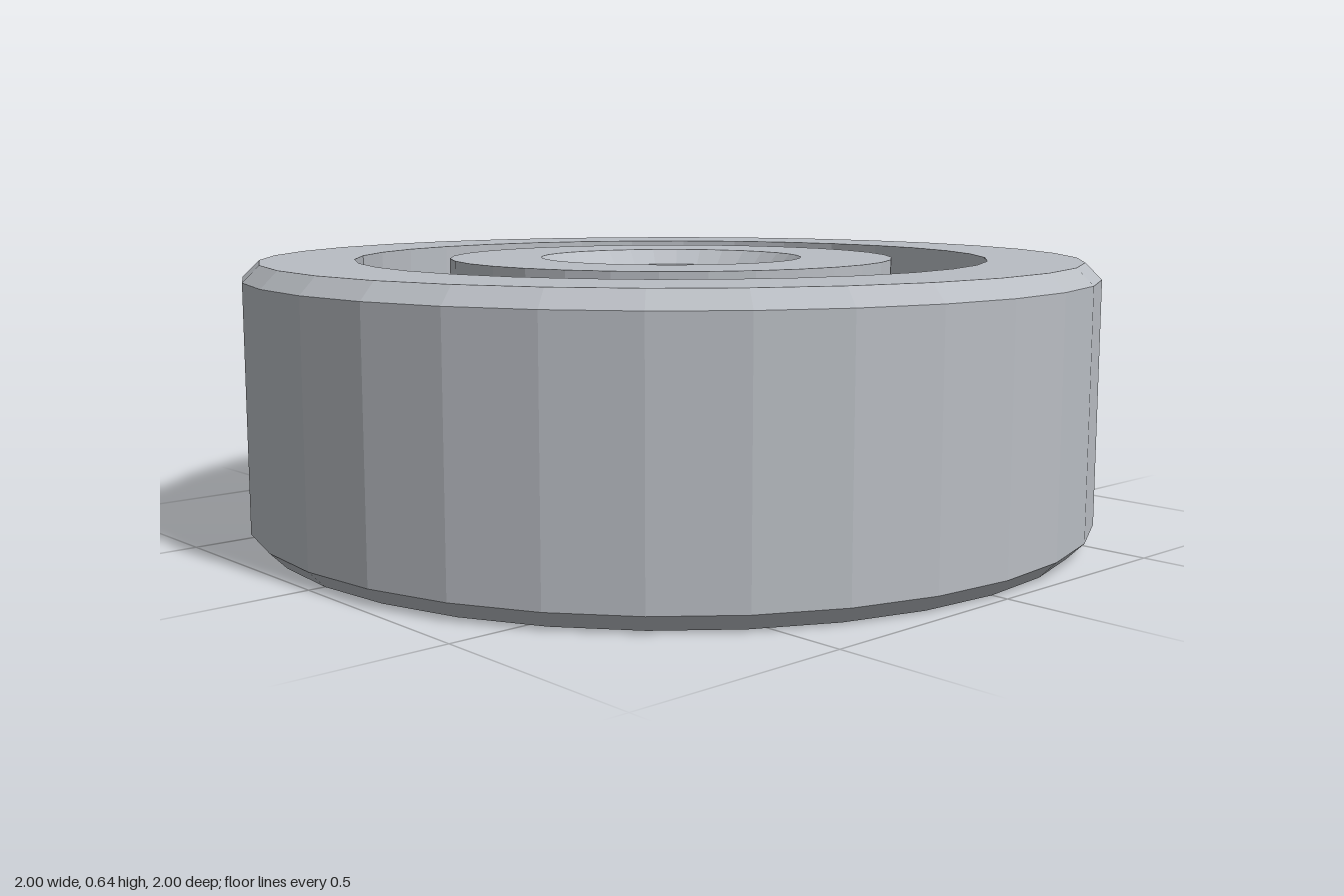
import * as THREE from 'three';

const HEIGHT = 0.64, MID = HEIGHT / 2;
const BALL_R = 0.175, PITCH_R = 0.635, BALLS = 8;
const GROOVE_R = 0.178, SIDES = 32;

// Facet a geometry by giving every triangle its own normal.
function faceted(geometry) {
  const flat = geometry.index ? geometry.toNonIndexed() : geometry;
  flat.computeVertexNormals();
  return flat;
}

// Groove arc around the ball circle, cut into a wall of the given radius.
// dir +1 runs upwards, -1 downwards.
function groove(wallR, dir, steps = 8) {
  const side = Math.sign(wallR - PITCH_R);
  const half = Math.acos(Math.abs(wallR - PITCH_R) / GROOVE_R);
  return Array.from({ length: steps + 1 }, (_, i) => {
    const a = dir * half * (2 * i / steps - 1);
    return [PITCH_R + side * GROOVE_R * Math.cos(a), MID + GROOVE_R * Math.sin(a)];
  });
}

// Closed ring turned from a counter-clockwise profile of [radius, height].
function ring(name, profile, material) {
  const points = [...profile, profile[0]].map(([r, y]) => new THREE.Vector2(r, y));
  const mesh = new THREE.Mesh(faceted(new THREE.LatheGeometry(points, SIDES)), material);
  mesh.name = name;
  return mesh;
}

export function createModel() {
  const steel = new THREE.MeshStandardMaterial({ color: 0xb9bdc3 });
  steel.name = 'steel';
  const model = new THREE.Group();
  model.name = 'ballBearing';

  // Outer ring: chamfered outside, grooved inside
  model.add(ring('outerRing', [
    [0.745, 0], [0.962, 0], [1, 0.038], [1, HEIGHT - 0.038], [0.962, HEIGHT], [0.745, HEIGHT],
    ...groove(0.745, -1),
  ], steel));

  // Inner ring: grooved outside, chamfered bore
  model.add(ring('innerRing', [
    [0.31, 0], [0.525, 0], ...groove(0.525, 1), [0.525, HEIGHT], [0.31, HEIGHT],
    [0.275, HEIGHT - 0.036], [0.275, 0.036],
  ], steel));

  // Balls
  const balls = new THREE.Group();
  balls.name = 'balls';
  const ballGeometry = faceted(new THREE.IcosahedronGeometry(BALL_R, 3));
  for (let i = 0; i < BALLS; i++) {
    const a = (i / BALLS) * Math.PI * 2;
    const ball = new THREE.Mesh(ballGeometry, steel);
    ball.name = 'ball';
    ball.position.set(PITCH_R * Math.sin(a), MID, PITCH_R * Math.cos(a));
    balls.add(ball);
  }
  model.add(balls);

  return model;
}
